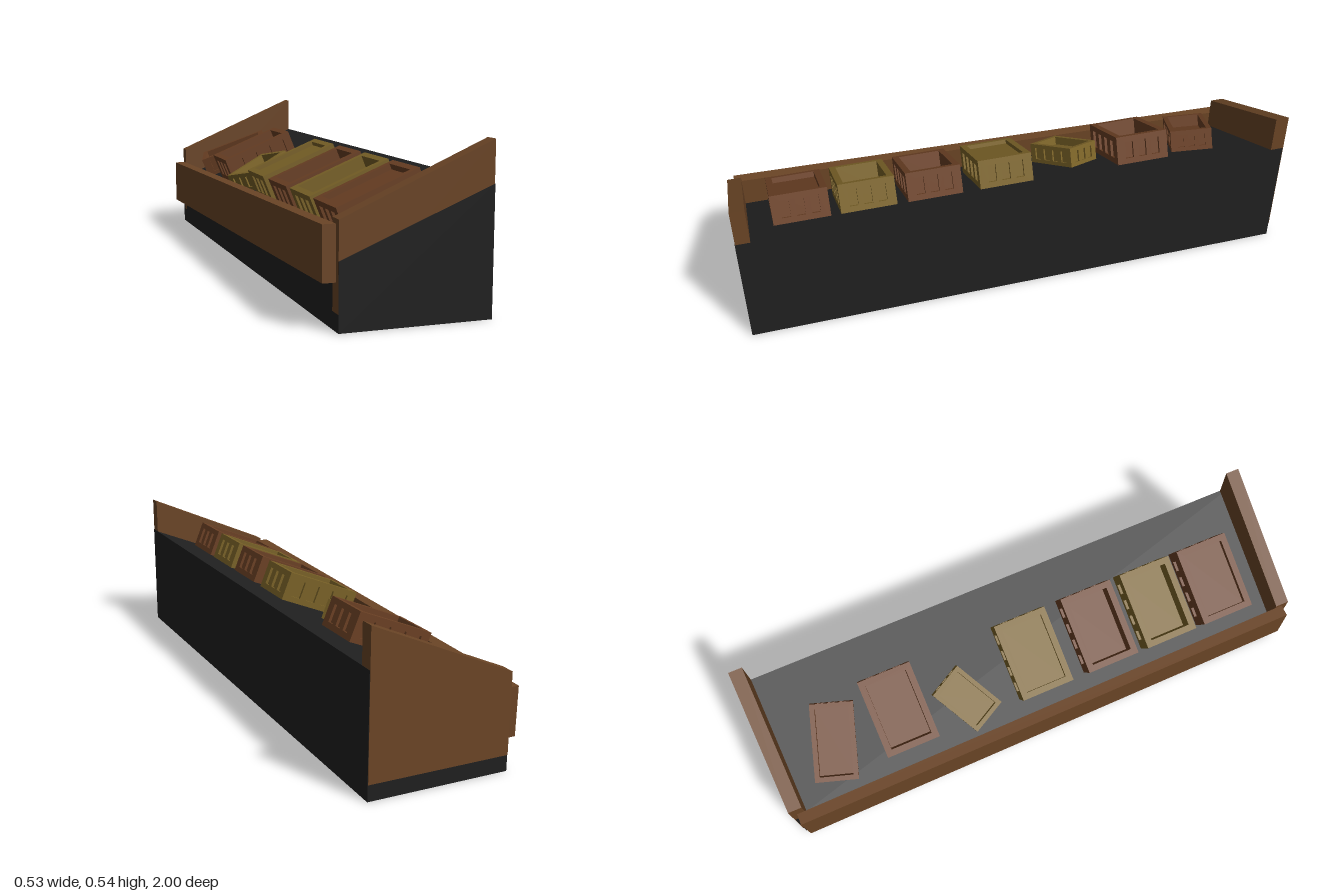
import * as THREE from 'three';

const mat = (color) => new THREE.MeshStandardMaterial({ color, flatShading: true });
const black = mat(0x202020), wood = mat(0x6b4526), brown = mat(0x6b4024), olive = mat(0x7a6227);
const SLOPE = Math.atan2(0.2, 0.49);

function polygon(points) {
  return new THREE.Shape(points.map(([x, y]) => new THREE.Vector2(x, y)));
}

function extrude(name, shape, depth, material) {
  const mesh = new THREE.Mesh(new THREE.ExtrudeGeometry(shape, { depth, bevelEnabled: false }), material);
  mesh.name = name;
  return mesh;
}

// Outer crate skin: a board with a row of upright slots, facing +z
function slottedBoard(width, height, thick, slots, material) {
  const w = width / 2;
  const shape = polygon([[-w, 0], [w, 0], [w, height], [-w, height]]);
  const pitch = (width * 0.86) / slots;
  for (let i = 0; i < slots; i++) {
    const x = (i - (slots - 1) / 2) * pitch, s = pitch * 0.3;
    shape.holes.push(new THREE.Path([
      [x - s, height * 0.2], [x - s, height * 0.8], [x + s, height * 0.8], [x + s, height * 0.2],
    ].map(([a, b]) => new THREE.Vector2(a, b))));
  }
  return extrude('slottedBoard', shape, thick, material);
}

// Crate standing on its base: slotted skin, open lining and raised floor
function crate({ length: L, width: W, height: H, depth, material }) {
  const g = new THREE.Group();
  g.name = 'crate';
  const t = W * 0.05, rim = W * 0.115;
  for (let i = 0; i < 4; i++) {
    const end = i % 2 === 1;
    const board = slottedBoard(end ? W - 2 * t : L, H, t, end ? 3 : 4, material);
    board.position.z = (end ? L : W) / 2 - t;
    const side = new THREE.Group();
    side.name = end ? 'crateEnd' : 'crateSide';
    side.rotation.y = (i * Math.PI) / 2;
    side.add(board);
    g.add(side);
  }
  const rect = (l, w) => [[-l / 2, -w / 2], [l / 2, -w / 2], [l / 2, w / 2], [-l / 2, w / 2]];
  const ring = polygon(rect(L - 2 * t, W - 2 * t));
  ring.holes.push(new THREE.Path(rect(L - 2 * rim, W - 2 * rim).reverse().map(([x, y]) => new THREE.Vector2(x, y))));
  const lining = extrude('crateLining', ring, H, material);
  lining.rotation.x = -Math.PI / 2;
  const floor = new THREE.Mesh(new THREE.BoxGeometry(L - 2 * rim, H - depth, W - 2 * rim), material);
  floor.name = 'crateFloor';
  floor.position.y = (H - depth) / 2;
  g.add(lining, floor);
  return g;
}

export function createModel() {
  const model = new THREE.Group();
  model.name = 'produceStand';

  // Sloping body
  const body = extrude('body', polygon([[-0.225, 0], [0.266, 0], [0.266, 0.41], [-0.225, 0.21]]), 1.998, black);
  body.position.z = -0.998;
  model.add(body);

  // End panels rising above the slope
  const profile = polygon([[-0.225, 0.055], [0.265, 0.055], [0.265, 0.543], [-0.225, 0.33]]);
  for (const [name, z] of [['frontEndPanel', 0.949], ['backEndPanel', -1]]) {
    const panel = extrude(name, profile, 0.05, wood);
    panel.position.z = z;
    model.add(panel);
  }

  // Slightly crooked rail along the low edge
  const rail = new THREE.Mesh(new THREE.BoxGeometry(0.042, 0.17, 1.955), wood);
  rail.name = 'rail';
  rail.position.set(-0.246, 0.2075, 0);
  rail.rotation.x = -0.023;
  model.add(rail);

  // Crates resting on the slope: x, z, turn, length, width, height, depth, material
  const crates = [
    [-0.01, 0.765, 0, 0.29, 0.2, 0.105, 0.02, brown],
    [-0.01, 0.53, 0, 0.29, 0.2, 0.105, 0.068, olive],
    [-0.01, 0.29, 0, 0.29, 0.2, 0.105, 0.068, brown],
    [-0.01, 0.025, 0, 0.29, 0.2, 0.105, 0.015, olive],
    [-0.01, -0.505, 0, 0.29, 0.2, 0.105, 0.068, brown],
    [-0.028, -0.76, -0.31, 0.28, 0.155, 0.08, 0.045, brown],
    [-0.067, -0.26, 0.5, 0.21, 0.14, 0.073, 0.03, olive],
  ];
  for (const [x, z, turn, length, width, height, depth, material] of crates) {
    const seat = new THREE.Group();
    seat.name = 'crateOnSlope';
    seat.position.set(x, 0.302 + x * Math.tan(SLOPE), z);
    seat.rotation.z = SLOPE;
    const c = crate({ length, width, height, depth, material });
    c.rotation.y = turn;
    seat.add(c);
    model.add(seat);
  }
  return model;
}
